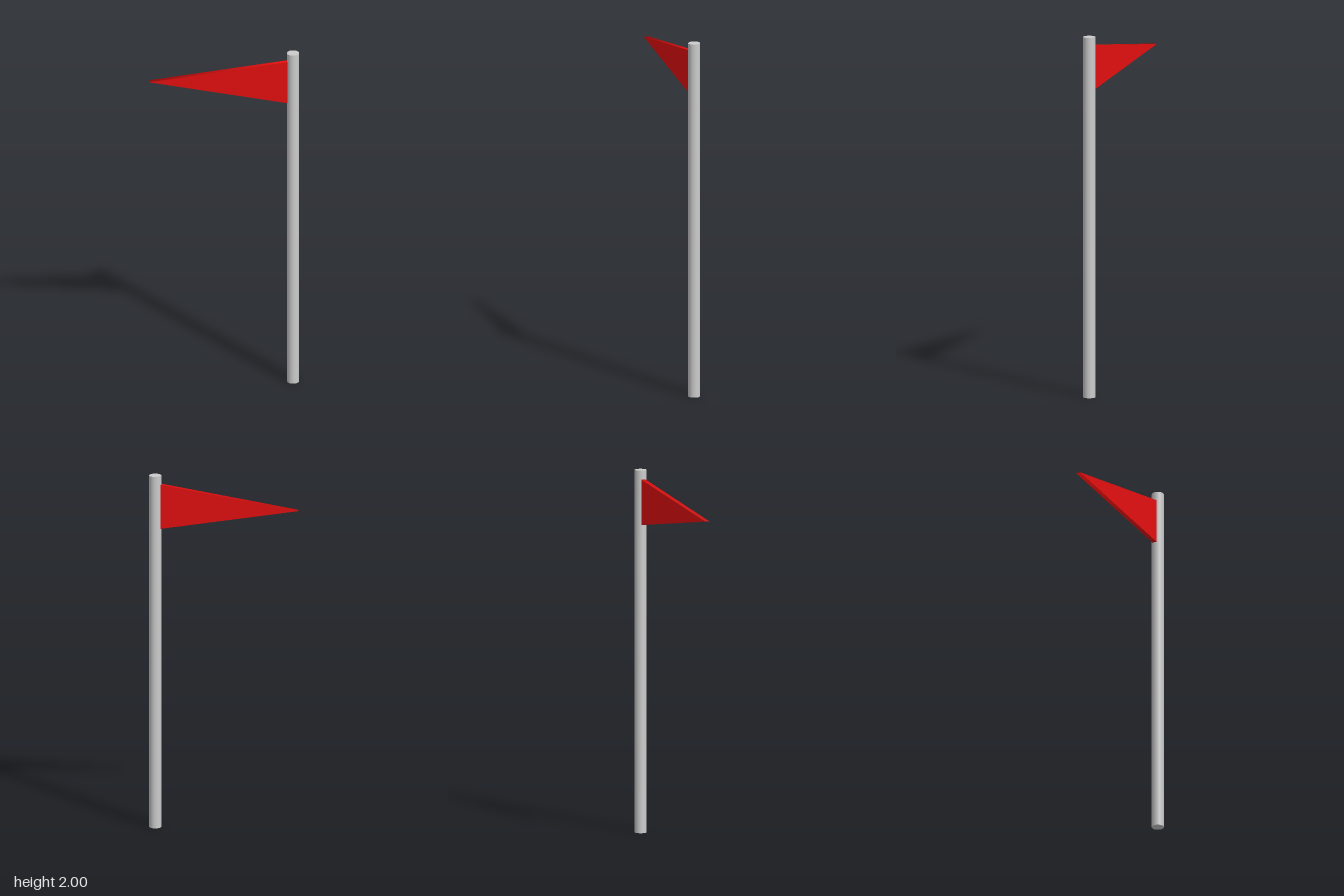
import * as THREE from 'three';

export function createModel() {
  const model = new THREE.Group();

  // Round pole, standing to one side
  const pole = new THREE.Mesh(
    new THREE.CylinderGeometry(0.033, 0.033, 2, 32),
    new THREE.MeshStandardMaterial({ color: 0xcccccc })
  );
  pole.name = 'pole';
  pole.position.set(0.375, 1, 0);
  model.add(pole);

  // Pennant: a thin three-sided prism, tip towards -x, base sunk slightly into the pole
  const tipX = -0.41, baseX = 0.35, halfHeight = 0.126, thickness = 0.025;
  const radiusX = (baseX - tipX) / 1.5;
  const pennant = new THREE.CylinderGeometry(1, 1, thickness, 3);
  pennant.rotateX(Math.PI / 2);
  pennant.rotateZ(-Math.PI / 2);
  pennant.scale(radiusX, halfHeight / Math.sin(Math.PI / 3), 1);

  const flag = new THREE.Mesh(pennant, new THREE.MeshStandardMaterial({ color: 0xe60f0f }));
  flag.name = 'flag';
  flag.position.set(tipX + radiusX, 1.825, 0);
  model.add(flag);

  return model;
}
